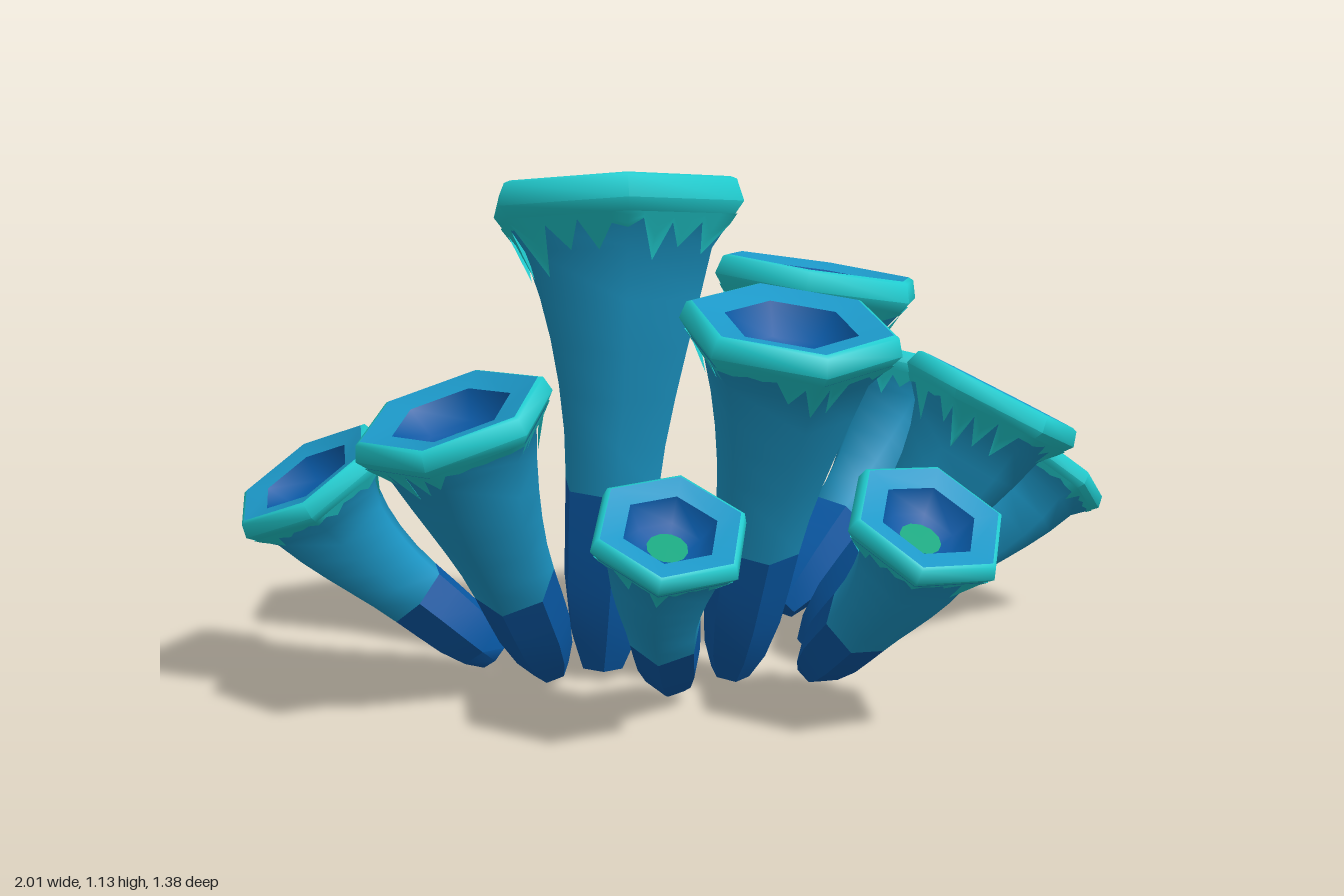
import * as THREE from 'three';
import { toCreasedNormals } from 'three/addons/utils/BufferGeometryUtils.js';

const mat = (name, color, side = THREE.FrontSide) => {
  const m = new THREE.MeshStandardMaterial({ color, side });
  m.name = name;
  return m;
};

// One entry per tube: rim centre, rim facing direction, rim radius, foot, hexagon turn in degrees
const TUBES = [
  { rim: [-0.205, 1.085, -0.16], face: [0.05, 1, -0.17], R: 0.297, foot: [-0.25, 0.015, -0.16], turn: -11 },
  { rim: [0.272, 0.89, -0.1], face: [0.16, 1, 0.02], R: 0.25, foot: [0.11, 0.02, -0.22], turn: 6 },
  { rim: [-0.003, 0.835, 0.262], face: [0, 0.96, 0.22], R: 0.236, foot: [-0.025, 0.02, 0.03], turn: -20 },
  { rim: [0.59, 0.62, 0.15], face: [0.43, 0.86, 0.13], R: 0.21, foot: [0.21, 0.025, -0.02], turn: -28 },
  { rim: [0.795, 0.54, -0.52], face: [0.5, 0.82, -0.2], R: 0.205, foot: [0.31, 0.03, -0.345], turn: -10 },
  { rim: [0.895, 0.4, -0.068], face: [0.64, 0.77, 0.05], R: 0.17, foot: [0.475, 0.035, -0.18], turn: 30 },
  { rim: [0.143, 0.465, 0.568], face: [0.03, 0.84, 0.53], R: 0.176, foot: [0.12, 0.035, 0.14], turn: 4 },
  { rim: [-0.348, 0.465, 0.4], face: [-0.08, 0.86, 0.48], R: 0.168, foot: [-0.19, 0.03, 0.07], turn: 0 },
  { rim: [-0.685, 0.675, 0.09], face: [-0.31, 0.94, 0.08], R: 0.209, foot: [-0.38, 0.03, -0.14], turn: 8 },
  { rim: [-0.862, 0.483, -0.34], face: [-0.52, 0.85, 0], R: 0.184, foot: [-0.46, 0.035, -0.285], turn: -10 },
];

// Point on a hexagon outline of radius r, s in 0..1 around it, in the plane facing n
function hexPoint(centre, n, r, s, turn) {
  const u = new THREE.Vector3(1, 0, 0).addScaledVector(n, -n.x).normalize();
  const v = new THREE.Vector3().crossVectors(u, n);
  const k = Math.floor(s * 6 + 1e-6), f = s * 6 - k;
  const a = turn + k * Math.PI / 3, b = a + Math.PI / 3;
  const x = Math.cos(a) * (1 - f) + Math.cos(b) * f;
  const y = Math.sin(a) * (1 - f) + Math.sin(b) * f;
  return centre.clone().addScaledVector(u, x * r).addScaledVector(v, y * r);
}

// Skin over rows of points that each run once around
function skin(rows, crease = 1.2) {
  const n = rows[0].length, index = [];
  for (let i = 0; i < rows.length - 1; i++) {
    for (let j = 0; j < n; j++) {
      const a = i * n + j, b = i * n + (j + 1) % n;
      index.push(a, a + n, b + n, a, b + n, b);
    }
  }
  const g = new THREE.BufferGeometry().setFromPoints(rows.flat());
  g.setIndex(index);
  return toCreasedNormals(g, crease);
}

export function createModel() {
  const model = new THREE.Group();
  model.name = 'tubeCluster';
  const body = mat('tubeBlue', 0x1c98c8);
  const deep = mat('deepBlue', 0x0858a4);
  const teal = mat('rimTeal', 0x20cccf);
  const tealThin = mat('dripTeal', 0x20cccf, THREE.DoubleSide);
  const green = mat('centreGreen', 0x0ca67e);

  let seed = 7;
  const rand = () => (seed = (seed * 16807) % 2147483647) / 2147483647;

  TUBES.forEach((spec, index) => {
    const { R } = spec;
    const turn = THREE.MathUtils.degToRad(spec.turn);
    const top = new THREE.Vector3(...spec.rim);
    const n = new THREE.Vector3(...spec.face).normalize();
    const foot = new THREE.Vector3(...spec.foot);
    const neck = top.clone().addScaledVector(n, -0.5 * R);
    const len = neck.distanceTo(foot);
    const lean = neck.clone().sub(foot).normalize();
    const path = new THREE.CubicBezierCurve3(foot, foot.clone().addScaledVector(lean, len * 0.35),
      neck.clone().addScaledVector(n, -len * 0.3), neck);
    const stem = 0.03 + 0.24 * R;

    const hex = (c, dir, r) =>
      Array.from({ length: 6 }, (_, j) => hexPoint(c, dir, r, j / 6, turn));
    const stemRing = (t, r) => hex(path.getPoint(t), path.getTangent(t), r);
    // Ring near the rim: d and r are in rim radii, d along the facing direction
    const rimRing = (d, r) => hex(top.clone().addScaledVector(n, d * R), n, r * R);

    const tube = new THREE.Group();
    tube.name = 'tube' + (index + 1);
    const add = (name, geometry, material) => {
      const m = new THREE.Mesh(geometry, material);
      m.name = name;
      tube.add(m);
    };

    // Dark foot with a blunt closed end
    const split = 0.43;
    add('foot', skin([stemRing(0, 0.001), stemRing(0, stem * 0.5), stemRing(0.08, stem * 0.8),
      stemRing(0.2, stem), stemRing(0.32, stem * 1.06), stemRing(split, stem * 1.1)], 0.95), deep);

    // Stem widening into the flare
    const stemRows = [];
    for (let i = 0; i <= 5; i++) {
      const f = i / 5;
      stemRows.push(stemRing(split + (1 - split) * f,
        THREE.MathUtils.lerp(stem * 1.1, 0.74 * R, Math.pow(f, 1.5))));
    }
    add('stem', skin([...stemRows, rimRing(-0.28, 0.92)]), body);

    // Teal rim, flat lip, cup and its centre
    add('rim', skin([rimRing(-0.28, 0.92), rimRing(-0.18, 1), rimRing(-0.02, 0.95), rimRing(0, 0.9)]), teal);
    add('lip', skin([rimRing(0, 0.9), rimRing(-0.06, 0.6)]), body);
    add('cup', skin([rimRing(-0.06, 0.6), rimRing(-0.33, 0.42), rimRing(-0.37, 0.22)]), deep);
    const disc = new THREE.CircleGeometry(0.25 * R, 12);
    disc.applyQuaternion(new THREE.Quaternion().setFromUnitVectors(new THREE.Vector3(0, 0, 1), n));
    disc.translate(...top.clone().addScaledVector(n, -0.355 * R).toArray());
    add('cupCentre', disc, green);

    // Ragged drips hanging over the flare, a few of them long
    const count = 42;
    const flare = (d) => d > -0.5 ? THREE.MathUtils.mapLinear(d, -0.5, -0.28, 0.74, 0.92) : 0.74 + (d + 0.5) * 0.3;
    const ends = Array.from({ length: count }, (_, j) =>
      j % 2 ? -0.3 - 0.06 * rand() : -0.34 - 0.42 * Math.pow(rand(), 2.5));
    const dripRows = [];
    for (let k = 4; k >= 0; k--) {
      dripRows.push(ends.map((end, j) => {
        const d = THREE.MathUtils.lerp(-0.27, end, k / 4);
        return hexPoint(top.clone().addScaledVector(n, d * R), n, (flare(d) + 0.015) * R, j / count, turn);
      }));
    }
    add('drips', skin(dripRows), tealThin);
    model.add(tube);
  });
  return model;
}
